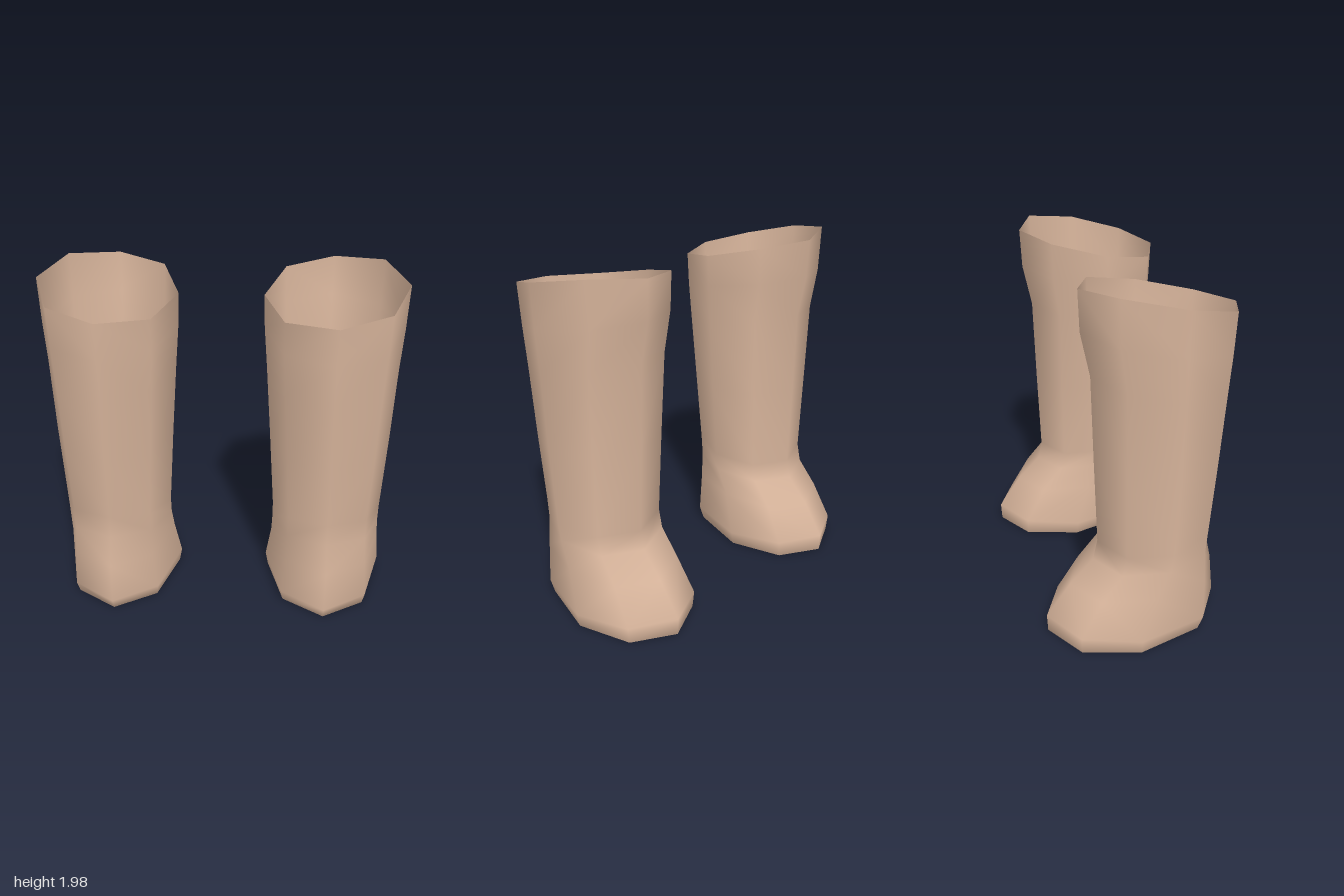
import * as THREE from 'three';

const SIDES = 8;

// Cross-sections of the left boot from the sole up:
// [xInner, xOuter, zHeel, zSide, zToe, yHeel, ySide, yToe]
const sections = [
  [0.62, 0.62, -0.05, -0.05, -0.05, 0, 0, 0],
  [0.31, 0.935, 0.415, -0.08, -0.485, 0, 0, 0],
  [0.285, 0.96, 0.44, -0.08, -0.515, 0, 0, 0],
  [0.27, 0.975, 0.475, -0.08, -0.52, 0.07, 0.08, 0.10],
  [0.302, 0.95, 0.45, 0.0, -0.385, 0.30, 0.32, 0.285],
  [0.307, 0.936, 0.412, 0.08, -0.25, 0.48, 0.47, 0.42],
  [0.307, 0.935, 0.42, 0.10, -0.225, 0.62, 0.57, 0.53],
  [0.28, 0.957, 0.452, 0.11, -0.243, 1.00, 1.02, 1.02],
  [0.252, 0.975, 0.485, 0.11, -0.258, 1.38, 1.45, 1.50],
  [0.235, 0.99, 0.503, 0.11, -0.31, 1.61, 1.68, 1.74],
  [0.23, 1.0, 0.515, 0.11, -0.32, 1.82, 1.90, 1.96],
];

// Uneven height of the open rim, from the back round the outside
const rimHeights = [1.82, 1.86, 1.93, 1.98, 1.96, 1.93, 1.86, 1.81];

function bootGeometry() {
  const positions = [];
  const index = [];
  sections.forEach(([xi, xo, zh, zs, zt, yh, ys, yt], row) => {
    for (let j = 0; j < SIDES; j++) {
      const a = (j / SIDES) * Math.PI * 2;
      const s = Math.sin(a);
      const c = Math.cos(a);
      const k = Math.abs(c);
      const x = (xi + xo) / 2 + s * (xo - xi) / 2;
      const z = zs + k * ((c > 0 ? zh : zt) - zs);
      const y = row === sections.length - 1 ? rimHeights[j] : ys + k * ((c > 0 ? yh : yt) - ys);
      positions.push(x, y, z);
    }
  });
  for (let i = 0; i < sections.length - 1; i++) {
    for (let j = 0; j < SIDES; j++) {
      const a = i * SIDES + j;
      const b = i * SIDES + (j + 1) % SIDES;
      if (i > 0) index.push(a, b, b + SIDES);
      index.push(a, b + SIDES, a + SIDES);
    }
  }
  const geometry = new THREE.BufferGeometry();
  geometry.setAttribute('position', new THREE.Float32BufferAttribute(positions, 3));
  geometry.setIndex(index);
  geometry.computeVertexNormals();
  return geometry;
}

export function createModel() {
  const group = new THREE.Group();
  group.name = 'boots';
  const leather = new THREE.MeshStandardMaterial({ color: 0xd8b59c, side: THREE.DoubleSide });
  leather.name = 'tan leather';
  const geometry = bootGeometry();

  // Mirrored pair
  for (const [name, side] of [['leftBoot', 1], ['rightBoot', -1]]) {
    const boot = new THREE.Mesh(geometry, leather);
    boot.name = name;
    boot.scale.x = side;
    group.add(boot);
  }
  return group;
}
